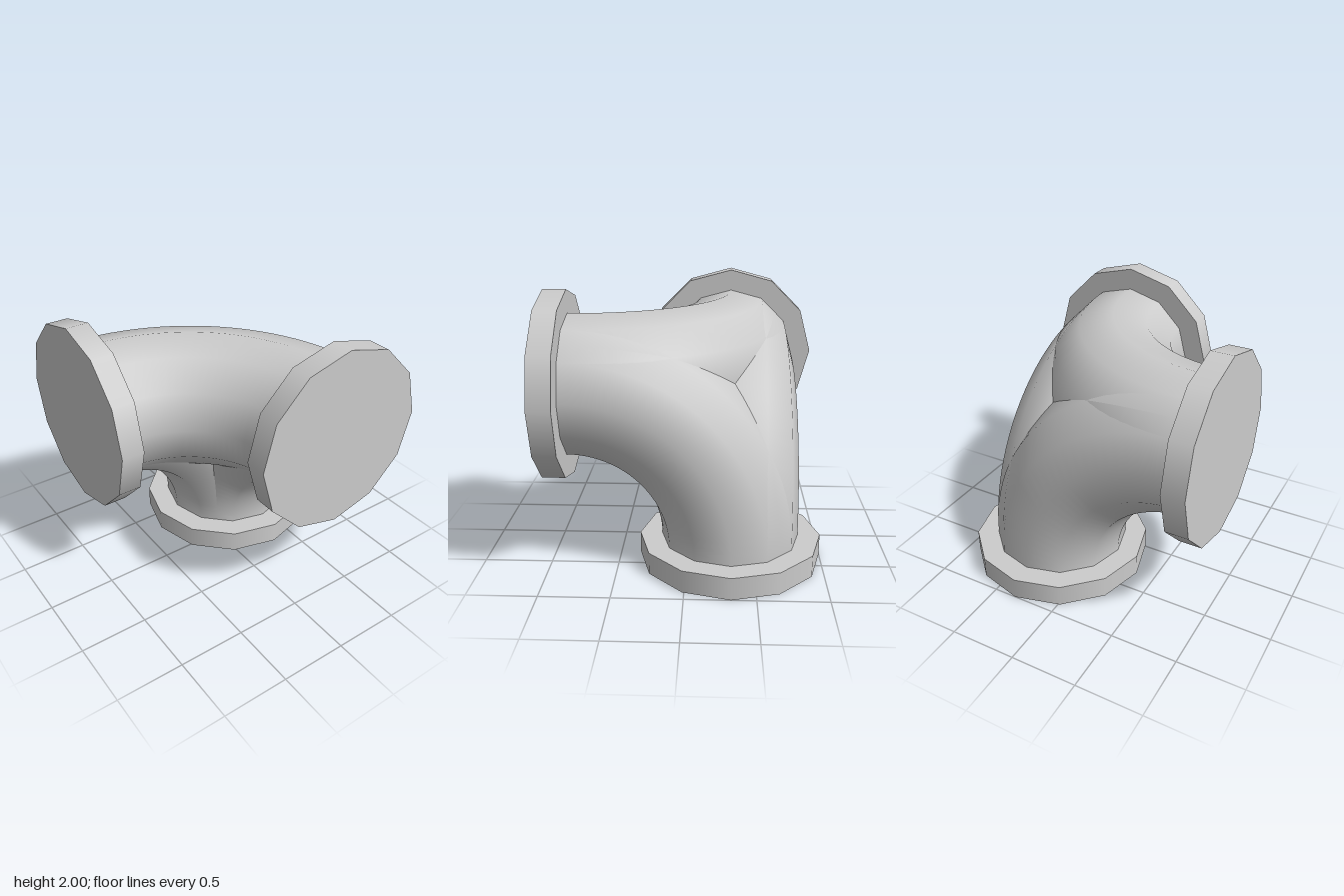
import * as THREE from 'three';

const AXIS = 0.324;       // offset of the pipe axes from the centre
const THICK = 0.165;      // flange thickness
const FLANGE_R = 0.676;
const PIPE_R = 0.51;
const SIDES = 12;
const PORT = 1 - THICK;   // where pipe and flange meet
const BEND = PORT + AXIS; // bend radius of the elbows

export function createModel() {
  const group = new THREE.Group();
  group.name = 'threeWayCornerPipe';
  const material = new THREE.MeshStandardMaterial({ color: 0xcccccc, side: THREE.DoubleSide });

  const add = (name, geometry, position, rotation) => {
    const mesh = new THREE.Mesh(geometry, material);
    mesh.name = name;
    mesh.position.set(...position);
    mesh.rotation.set(...rotation);
    group.add(mesh);
  };

  const q = Math.PI / 2;
  const top = 1 + AXIS;

  // Three quarter-turn elbows, each joining two of the ports
  const elbow = new THREE.TorusGeometry(BEND, PIPE_R, SIDES, 24, q);
  add('elbowRightToBottom', elbow, [-PORT, THICK, -AXIS], [0, 0, 0]);
  add('elbowFrontToBottom', elbow, [AXIS, THICK, PORT], [0, q, 0]);
  add('elbowRightToFront', elbow, [-PORT, top, PORT], [-q, 0, 0]);

  // Closed twelve-sided flange on each port
  const flange = new THREE.CylinderGeometry(FLANGE_R, FLANGE_R, THICK, SIDES);
  const mid = 1 - THICK / 2;
  add('flangeRight', flange, [-mid, top, -AXIS], [0, 0, q]);
  add('flangeBottom', flange, [AXIS, THICK / 2, -AXIS], [0, 0, 0]);
  add('flangeFront', flange, [AXIS, top, mid], [q, 0, 0]);

  return group;
}
